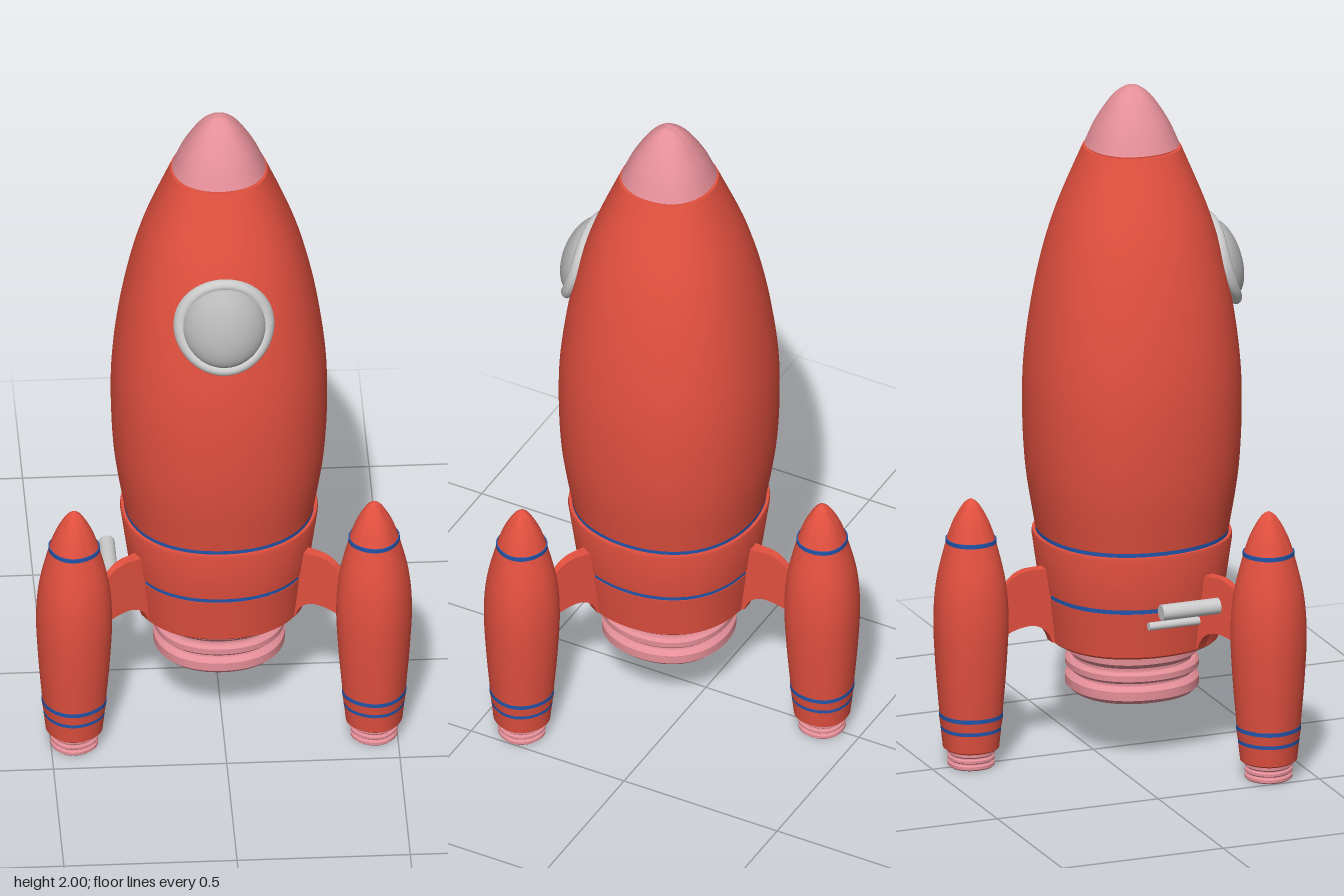
import * as THREE from 'three';
import { toCreasedNormals } from 'three/addons/utils/BufferGeometryUtils.js';

const paint = (color) => new THREE.MeshStandardMaterial({ color });
const red = paint(0xe2503f), pink = paint(0xe58f98), blue = paint(0x2255aa);
const grey = paint(0xcccccc), glassGrey = paint(0xb8b8b8);

const AXIS_Z = 0.12; // main hull axis
const POD_R = 0.5;   // distance of the boosters from it

function mesh(parent, name, geometry, material) {
  const m = new THREE.Mesh(geometry, material);
  m.name = name;
  parent.add(m);
  return m;
}

// move every vertex by a rule
function deform(geo, rule) {
  const p = geo.attributes.position, v = new THREE.Vector3();
  for (let i = 0; i < p.count; i++) {
    rule(v.fromBufferAttribute(p, i));
    p.setXYZ(i, v.x, v.y, v.z);
  }
  geo.computeVertexNormals();
  return geo;
}

// lathe with a slightly squared-off circular section
function turned(points, segments = 64) {
  const geo = new THREE.LatheGeometry(points.map(([r, y]) => new THREE.Vector2(r, y)), segments);
  geo.deleteAttribute('uv');
  deform(geo, (v) => {
    const k = 1 + 0.015 * (1 - Math.cos(4 * Math.atan2(v.z, v.x)));
    v.x *= k;
    v.z *= k;
  });
  return toCreasedNormals(geo, 0.6);
}

// smooth profile through a few points
const smooth = (points, n = 28) =>
  new THREE.SplineCurve(points.map(([r, y]) => new THREE.Vector2(r, y)))
    .getPoints(n).map((p) => [Math.max(p.x, 0), p.y]);

const band = (r, y, h) => turned([[r - 0.02, y - h], [r, y - h], [r, y + h], [r - 0.02, y + h]]);

// hollow nozzle: inside wall, then rounded rings from the bottom up
function nozzle(radius, neck, wall, depth, rings) {
  const pts = [[0, depth], [wall * 0.85, depth], [wall, rings[0][0]]];
  for (const [y0, y1] of rings) {
    const c = (y1 - y0) * 0.25;
    pts.push([neck, y0], [radius - c, y0], [radius, y0 + c], [radius, y1 - c], [radius - c, y1], [neck, y1]);
  }
  return turned(pts);
}

function buildHull() {
  const hull = new THREE.Group();
  hull.name = 'hull';
  hull.position.z = AXIS_Z;
  mesh(hull, 'noseCone', turned([[0.1, 1.822],
    ...smooth([[0.135, 1.822], [0.105, 1.89], [0.06, 1.96], [0.025, 1.991], [0, 2]])]), pink);
  mesh(hull, 'noseGroove', turned([[0.128, 1.8], [0.128, 1.83]]), red);
  mesh(hull, 'upperHull', turned([[0.2, 0.667], ...smooth([[0.275, 0.667], [0.303, 0.85], [0.312, 1.05],
    [0.303, 1.22], [0.272, 1.42], [0.222, 1.61], [0.14, 1.815]], 40), [0.1, 1.815]]), red);
  mesh(hull, 'middleHull', turned([[0.2, 0.492], [0.264, 0.492], [0.285, 0.645], [0.283, 0.655], [0.2, 0.655]]), red);
  mesh(hull, 'lowerHull', turned([[0, 0.335], [0.238, 0.335], [0.246, 0.342], [0.262, 0.478], [0.2, 0.478]]), red);
  mesh(hull, 'upperStripe', band(0.274, 0.661, 0.008), blue);
  mesh(hull, 'lowerStripe', band(0.26, 0.485, 0.009), blue);
  mesh(hull, 'mainNozzle', nozzle(0.19, 0.17, 0.155, 0.31,
    [[0.18, 0.232], [0.242, 0.276], [0.286, 0.345]]), pink);
  return hull;
}

function buildBooster() {
  const pod = new THREE.Group();
  pod.name = 'booster';
  mesh(pod, 'boosterTip', turned(smooth([[0.07, 0.684], [0.05, 0.74], [0.022, 0.79], [0, 0.807]], 16), 48), red);
  mesh(pod, 'boosterBody', turned(smooth([[0.09, 0.162], [0.101, 0.3], [0.107, 0.44], [0.098, 0.56], [0.071, 0.678]], 24), 48), red);
  mesh(pod, 'boosterCollar', turned([[0.07, 0.122], [0.087, 0.122], [0.091, 0.15], [0.07, 0.15]], 48), red);
  mesh(pod, 'boosterBase', turned([[0, 0.052], [0.074, 0.052], [0.08, 0.057], [0.086, 0.112], [0.07, 0.112]], 48), red);
  [[0.0725, 0.681], [0.091, 0.156], [0.086, 0.117]].forEach(([r, y]) =>
    mesh(pod, 'boosterStripe', band(r, y, 0.006), blue));
  mesh(pod, 'boosterNozzle', nozzle(0.067, 0.06, 0.054, 0.04,
    [[0, 0.017], [0.02, 0.034], [0.037, 0.054]]), pink);
  return pod;
}

// arched fin joining a booster to the hull, thinner at its outer end
function strutGeometry() {
  const s = new THREE.Shape();
  s.moveTo(0.2, 0.345);
  s.lineTo(0.255, 0.345);
  s.quadraticCurveTo(0.27, 0.4, 0.32, 0.402);
  s.quadraticCurveTo(0.37, 0.4, 0.42, 0.365);
  s.lineTo(0.42, 0.49);
  s.quadraticCurveTo(0.38, 0.57, 0.32, 0.57);
  s.lineTo(0.2, 0.57);
  const geo = new THREE.ExtrudeGeometry(s, { depth: 1, bevelEnabled: false, curveSegments: 10 });
  deform(geo, (v) => {
    v.z = (v.z - 0.5) * THREE.MathUtils.mapLinear(v.x, 0.2, 0.42, 0.046, 0.015);
  });
  return toCreasedNormals(geo, 0.6);
}

function buildWindow() {
  const win = new THREE.Group();
  win.name = 'window';
  win.position.set(0, 1.445, 0.395);
  win.rotation.x = -0.28;
  const wrap = (v) => { v.z -= 1.6 * v.x * v.x; }; // follow the hull curve
  mesh(win, 'windowFrame', deform(new THREE.TorusGeometry(0.129, 0.017, 12, 64), wrap), grey);
  const dome = new THREE.SphereGeometry(0.122, 48, 16, 0, Math.PI * 2, 0, Math.PI / 2);
  dome.rotateX(Math.PI / 2).scale(1, 1, 0.46);
  mesh(win, 'windowGlass', deform(dome, wrap), glassGrey);
  return win;
}

export function createModel() {
  const rocket = new THREE.Group();
  rocket.name = 'rocket';
  rocket.add(buildHull(), buildWindow());

  // three boosters, one behind and two toward the front
  const strut = strutGeometry();
  [Math.PI / 2, -Math.PI / 6, -Math.PI * 5 / 6].forEach((angle) => {
    const arm = new THREE.Group();
    arm.name = 'boosterArm';
    arm.position.z = AXIS_Z;
    arm.rotation.y = angle;
    const pod = buildBooster();
    pod.position.x = POD_R;
    arm.add(pod);
    mesh(arm, 'strut', strut, red);
    rocket.add(arm);
  });

  // two loose rods beside the right strut
  [[0.0235, 0.178, -0.322, 0.5, 0.17], [0.012, 0.156, -0.372, 0.48, 0.1]].forEach(([r, len, x, y, z]) => {
    const rod = mesh(rocket, 'rod', new THREE.CylinderGeometry(r, r, len, 24), grey);
    rod.rotation.x = Math.PI / 2;
    rod.position.set(x, y, z);
  });
  return rocket;
}
